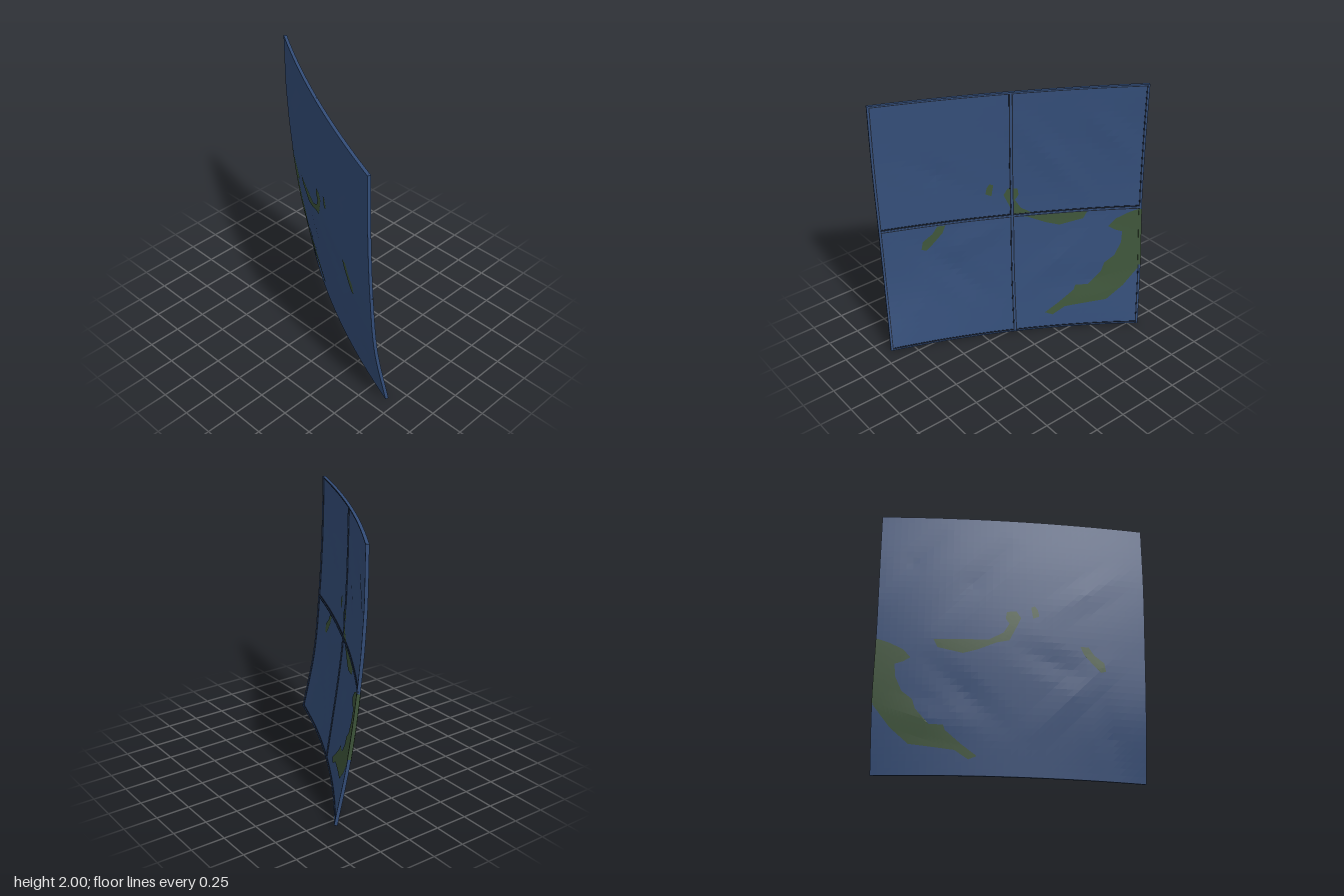
import * as THREE from 'three';

const blue = new THREE.MeshStandardMaterial({ color: 0x334d78 });
blue.name = 'chart blue';
const dark = new THREE.MeshStandardMaterial({ color: 0x1a2334 });
dark.name = 'crease navy';
const green = new THREE.MeshStandardMaterial({ color: 0x3d5439, side: THREE.DoubleSide });
green.name = 'island green';

// Three upright ribs, bottom to top, carry the bent sheet
const rib = (xs, zs) => new THREE.CatmullRomCurve3(
  xs.map((x, i) => new THREE.Vector3(x, i * 0.5, zs[i])));
const left = rib([-0.368, -0.458, -0.503, -0.533, -0.545], [0.925, 0.885, 0.87, 0.865, 0.86]);
const middle = rib([0.035, -0.03, -0.08, -0.105, -0.113], [0.02, -0.01, -0.04, -0.05, -0.055]);
const right = rib([0.56, 0.49, 0.433, 0.402, 0.397], [-0.812, -0.866, -0.891, -0.911, -0.917]);

// Smooth sheet: u runs -1..1 from left to right, v runs 0..1 upward
function base(u, v) {
  v = THREE.MathUtils.clamp(v, 0, 1);
  return left.getPoint(v).multiplyScalar(u * (u - 1) / 2)
    .addScaledVector(middle.getPoint(v), 1 - u * u)
    .addScaledVector(right.getPoint(v), u * (u + 1) / 2);
}

// Shallow paper wrinkles: [u, v, direction, length, height]
const wrinkles = [
  [0.3, 0.72, -0.9, 0.5, 0.007], [-0.55, 0.7, -0.6, 0.4, -0.005], [0.75, 0.8, -0.8, 0.4, 0.006],
  [0.35, 0.3, 0.7, 0.5, 0.006], [-0.45, 0.3, -0.8, 0.5, -0.006], [-0.3, 0.42, 0.4, 0.4, 0.006],
  [0.6, 0.2, 0.2, 0.4, -0.005], [-0.75, 0.15, 1.3, 0.4, 0.005]];
function wrinkle(u, v) {
  let h = 0;
  for (const [cu, cv, a, len, amp] of wrinkles) {
    const x = u - cu, y = 2 * (v - cv);
    const along = x * Math.cos(a) + y * Math.sin(a);
    const across = y * Math.cos(a) - x * Math.sin(a);
    h += amp * Math.max(0, 1 - Math.abs(along) / len) * Math.max(0, 1 - Math.abs(across) / 0.14);
  }
  return h;
}

// Point on the sheet, moved a distance d toward its front
function onSheet(u, v, d) {
  const e = 0.01, v0 = Math.max(0, v - e), v1 = Math.min(1, v + e);
  const normal = base(u + e, v).sub(base(u - e, v))
    .cross(base(u, v1).sub(base(u, v0))).normalize();
  return base(u, v).addScaledVector(normal, d + wrinkle(u, v));
}

// Box bent to follow the sheet
function slab(name, u0, u1, v0, v1, d0, d1, material, nu, nv) {
  let g = new THREE.BoxGeometry(1, 1, 1, nu, nv, 1);
  const p = g.attributes.position;
  for (let i = 0; i < p.count; i++) {
    const q = onSheet(
      THREE.MathUtils.lerp(u0, u1, p.getX(i) + 0.5),
      THREE.MathUtils.lerp(v0, v1, p.getY(i) + 0.5),
      THREE.MathUtils.lerp(d0, d1, p.getZ(i) + 0.5));
    p.setXYZ(i, q.x, q.y, q.z);
  }
  g = g.toNonIndexed();
  g.computeVertexNormals();
  const mesh = new THREE.Mesh(g, material);
  mesh.name = name;
  return mesh;
}

// Island outline in (z, y), cut into small triangles and laid on the sheet
function island(name, outline, d) {
  const pts = outline.map(([z, y]) => {
    let u = -z / 0.89;
    const v = y / 2;
    for (let i = 0; i < 5; i++) u += (base(u, v).z - z) / 0.89;
    return new THREE.Vector2(Math.min(0.995, Math.max(-0.995, u)), v);
  });
  const out = [];
  const split = (a, b, c) => {
    const sides = [[a, b, c], [b, c, a], [c, a, b]];
    const len = ([p, q]) => Math.hypot(p.x - q.x, 2 * (p.y - q.y));
    const [p, q, r] = sides.sort((s, t) => len(t) - len(s))[0];
    if (len([p, q]) > 0.05) {
      const m = p.clone().add(q).multiplyScalar(0.5);
      split(p, m, r);
      split(m, q, r);
    } else for (const k of [p, q, r]) out.push(...onSheet(k.x, k.y, d).toArray());
  };
  if (THREE.ShapeUtils.area(pts) < 0) pts.reverse();
  for (const [a, b, c] of THREE.ShapeUtils.triangulateShape(pts, [])) {
    if (d > -0.015) split(pts[a], pts[b], pts[c]);
    else split(pts[a], pts[c], pts[b]);
  }
  const g = new THREE.BufferGeometry();
  g.setAttribute('position', new THREE.Float32BufferAttribute(out, 3));
  g.computeVertexNormals();
  const mesh = new THREE.Mesh(g, green);
  mesh.name = name;
  return mesh;
}

const islands = {
  largeIsland: [[-0.9, 0.99], [-0.81, 0.96], [-0.72, 0.91], [-0.67, 0.85], [-0.71, 0.82],
    [-0.76, 0.8], [-0.75, 0.71], [-0.7, 0.6], [-0.63, 0.54], [-0.605, 0.47], [-0.51, 0.36],
    [-0.425, 0.36], [-0.41, 0.32], [-0.3, 0.22], [-0.2, 0.14], [-0.25, 0.115], [-0.34, 0.18],
    [-0.62, 0.22], [-0.74, 0.335], [-0.875, 0.5], [-0.895, 0.75]],
  middleIsland: [[0.01, 1.18], [-0.02, 1.23], [-0.085, 1.225], [-0.09, 1.17], [-0.065, 1.13],
    [-0.1, 1.06], [-0.19, 1.0], [-0.54, 0.99], [-0.51, 0.93], [-0.35, 0.89], [-0.26, 0.92],
    [-0.14, 0.98], [-0.06, 1.0], [-0.02, 1.1]],
  smallIsland: [[0.13, 1.2], [0.12, 1.25], [0.1, 1.28], [0.075, 1.27], [0.09, 1.18]],
  longIsland: [[0.595, 0.8], [0.58, 0.865], [0.51, 0.92], [0.47, 0.98], [0.415, 0.98],
    [0.44, 0.92], [0.51, 0.84], [0.56, 0.79]],
};

export function createModel() {
  const model = new THREE.Group();
  model.name = 'foldedChart';
  const front = -0.008, back = -0.024, line = front + 0.004, N = 40;

  // Sheet
  model.add(slab('sheet', -1, 1, 0, 1, back, front, blue, N, N));

  // Raised rims with a dark line inside
  for (const s of [-1, 1]) {
    model.add(slab('sideRim', s < 0 ? -1 : 0.986, s < 0 ? -0.986 : 1, 0, 1, front - 0.004, 0, blue, 1, N));
    model.add(slab('sideRimLine', s < 0 ? -0.986 : 0.979, s < 0 ? -0.979 : 0.986, 0, 1, front - 0.004, line, dark, 1, N));
    const edge = s < 0 ? 0 : 0.9955;
    const inner = s < 0 ? 0.0045 : 0.9915;
    model.add(slab('endRim', -1, 1, edge, edge + 0.0045, front - 0.004, 0, blue, N, 1));
    model.add(slab('endRimLine', -0.986, 0.986, inner, inner + 0.004, front - 0.004, line, dark, N, 1));
  }

  // Crossing folds: dark bed with a narrow raised ridge
  model.add(slab('uprightFoldBed', -0.014, 0.014, 0, 1, front - 0.004, line, dark, 1, N));
  model.add(slab('uprightFold', -0.006, 0.006, 0, 1, front, 0, blue, 1, N));
  model.add(slab('levelFoldBed', -1, 1, 0.493, 0.507, front - 0.004, line + 0.0005, dark, N, 1));
  model.add(slab('levelFold', -1, 1, 0.4975, 0.5025, front, 0, blue, N, 1));

  // Islands on both faces, and where the large one wraps the right rim
  for (const [name, outline] of Object.entries(islands)) {
    model.add(island(name + 'Front', outline, front + 0.003));
    model.add(island(name + 'Back', outline, back - 0.003));
  }
  model.add(slab('islandRim', 0.978, 1.001, 0.255, 0.493, back - 0.001, 0.001, green, 1, 12));
  return model;
}
